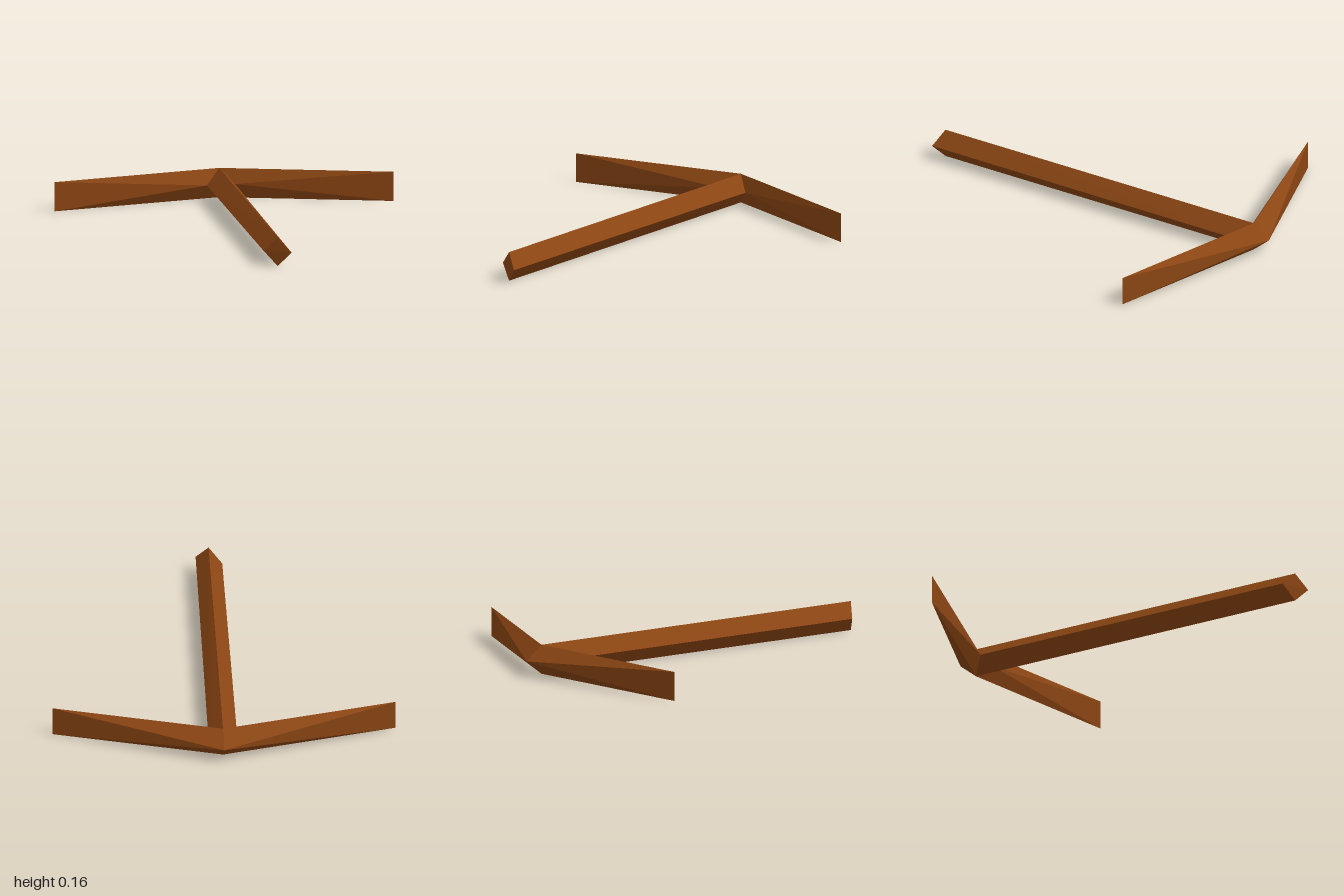
import * as THREE from 'three';

const H = 0.155, MID = H / 2;
const at = ([x, z], y) => [x, y, z];

// Hub corners as [x, z]: a ridge (top and bottom) with three side corners around it
const ridge = [0.07, -0.91];
const back = [0.09, -1.0];
const innerLeft = [0.13, -0.84];
const innerRight = [-0.02, -0.86];

const material = new THREE.MeshStandardMaterial({ color: 0x8b4513, flatShading: true });

// Diamond-section limb from the hub; a is the corner to the left of its direction, b to the right
function limb(name, a, b, endRidge, endA, endB, capped) {
  const pos = [];
  const tri = (p, q, r, flip) => pos.push(...p, ...(flip ? r : q), ...(flip ? q : r));
  for (const [side, end, isB] of [[a, endA, false], [b, endB, true]]) {
    for (const y of [H, 0]) {
      const flip = isB !== (y === 0);
      tri(at(side, MID), at(ridge, y), at(endRidge, y), flip);
      tri(at(side, MID), at(endRidge, y), at(end, MID), flip);
    }
  }
  if (capped) {
    tri(at(endA, MID), at(endRidge, H), at(endB, MID), false);
    tri(at(endA, MID), at(endB, MID), at(endRidge, 0), false);
  }
  const geometry = new THREE.BufferGeometry();
  geometry.setAttribute('position', new THREE.Float32BufferAttribute(pos, 3));
  geometry.computeVertexNormals();
  const mesh = new THREE.Mesh(geometry, material);
  mesh.name = name;
  return mesh;
}

export function createModel() {
  const group = new THREE.Group();
  group.name = 'pickaxe';
  // Blades narrow to an upright edge at the tip
  const tipLeft = [0.867, -0.465], tipRight = [-0.87, -0.88];
  group.add(
    limb('handle', innerLeft, innerRight, [-0.37, 0.945], [-0.315, 1.0], [-0.43, 0.895], true),
    limb('leftBlade', back, innerLeft, tipLeft, tipLeft, tipLeft, false),
    limb('rightBlade', innerRight, back, tipRight, tipRight, tipRight, false)
  );
  return group;
}
